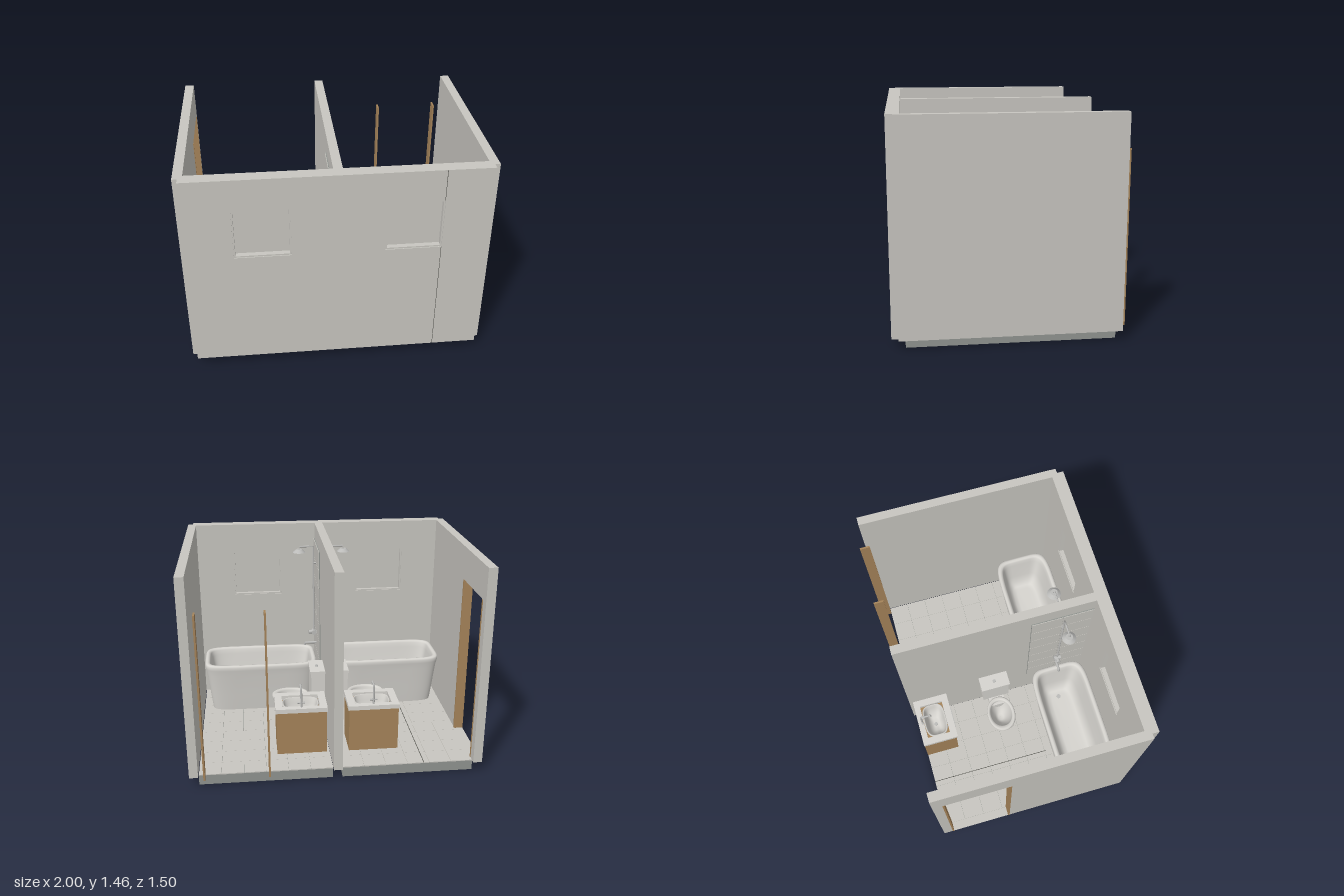
import * as THREE from 'three';

const mat = (name, color) => {
  const m = new THREE.MeshStandardMaterial({ color });
  m.name = name;
  return m;
};

export function createModel() {
  const wall = mat('plaster', 0xc8c6c0);
  const slab = mat('concrete', 0x909490);
  const wood = mat('wood', 0xa6845a);
  const ceramic = mat('ceramic', 0xd6d4cf);
  const metal = mat('metal', 0xbcbcba);
  const dark = mat('joint', 0x55554f);
  const root = new THREE.Group();
  root.name = 'bathroomPair';

  const add = (name, geo, material, parent = root) => {
    const m = new THREE.Mesh(geo, material);
    m.name = name;
    parent.add(m);
    return m;
  };
  // Box given by its limits on each axis
  const box = (name, material, x0, x1, y0, y1, z0, z1, parent) => {
    const g = new THREE.BoxGeometry(Math.abs(x1 - x0), y1 - y0, z1 - z0);
    g.translate((x0 + x1) / 2, (y0 + y1) / 2, (z0 + z1) / 2);
    return add(name, g, material, parent);
  };
  const rod = (name, material, points, r, parent) => {
    const path = new THREE.CurvePath();
    const v = points.map(p => new THREE.Vector3(...p));
    for (let i = 1; i < v.length; i++) path.add(new THREE.LineCurve3(v[i - 1], v[i]));
    return add(name, new THREE.TubeGeometry(path, 24, r, 10), material, parent);
  };
  const disc = (name, material, x, y, z, r0, r1, h, parent) => {
    const m = add(name, new THREE.CylinderGeometry(r0, r1, h, 24), material, parent);
    m.position.set(x, y, z);
    return m;
  };
  const oval = (cx, cz, a, b, n, seg = 64) => Array.from({ length: seg }, (_, j) => {
    const t = (j / seg) * Math.PI * 2, c = Math.cos(t), s = Math.sin(t);
    return [cx + a * Math.sign(c) * Math.abs(c) ** (2 / n), cz + b * Math.sign(s) * Math.abs(s) ** (2 / n)];
  });
  // Skin over stacked ovals [centreX, centreZ, halfX, halfZ, y], closed at the last one
  const loft = (rings, n) => {
    const seg = 64, pos = [], idx = [];
    const last = rings[rings.length - 1];
    [...rings, [last[0], last[1], 0.001, 0.001, last[4]]].forEach(([cx, cz, a, b, y]) =>
      oval(cx, cz, a, b, n, seg).forEach(([x, z]) => pos.push(x, y, z)));
    for (let i = 0; i < rings.length; i++) for (let j = 0; j < seg; j++) {
      const k = (j + 1) % seg, p = i * seg, q = p + seg;
      idx.push(p + j, q + j, p + k, p + k, q + j, q + k);
    }
    const g = new THREE.BufferGeometry();
    g.setAttribute('position', new THREE.Float32BufferAttribute(pos, 3));
    g.setIndex(idx);
    g.computeVertexNormals();
    return g;
  };
  // Rectangular plate with holes, each a list of points
  const plate = (x0, x1, y0, y1, holes, depth) => {
    const pts = list => list.map(p => new THREE.Vector2(p[0], p[1]));
    const rect = new THREE.Shape(pts([[x0, y0], [x1, y0], [x1, y1], [x0, y1]]));
    holes.forEach(h => rect.holes.push(new THREE.Path(pts(h))));
    return new THREE.ExtrudeGeometry(rect, { depth, bevelEnabled: false });
  };
  const rectHole = (x0, x1, y0, y1) => [[x0, y0], [x0, y1], [x1, y1], [x1, y0]];

  const F = 0.07, H = 1.46;

  // Outer walls and divider
  const front = add('frontWall', plate(-0.965, 0.965, F, H,
    [rectHole(-0.665, -0.3, 0.895, 1.245), rectHole(0.3, 0.665, 0.895, 1.245)], 0.087), wall);
  front.position.z = 0.658;
  box('frontWallJoint', dark, 0.661, 0.664, F, 0.895, 0.744, 0.746);
  box('frontWallJoint', dark, 0.661, 0.664, 1.245, H, 0.744, 0.746);
  box('dividerWall', wall, -0.03, 0.03, F, H, -0.71, 0.66);
  box('rightWall', wall, 0.94, 1, F, H, -0.71, 0.7);
  const doorWall = add('leftWall', plate(-0.7, 0.71, F, H, [rectHole(0.2, 0.64, F + 0.001, 1.23)], 0.062), wall);
  doorWall.rotation.y = Math.PI / 2;
  doorWall.position.x = -0.998;

  // Door frames
  box('sideDoorJamb', wood, -1, -0.932, F, 1.23, -0.645, -0.633);
  box('sideDoorJamb', wood, -1, -0.932, F, 1.23, -0.207, -0.195);
  for (const x of [0.463, 0.897]) box('backDoorJamb', wood, x - 0.006, x + 0.006, F, 1.225, -0.75, -0.68);
  box('floorJoint', dark, -0.598, -0.594, F, F + 0.007, -0.68, 0.22);

  for (const s of [-1, 1]) {
    const room = new THREE.Group();
    room.name = s > 0 ? 'leftRoom' : 'rightRoom';
    root.add(room);
    const b = (name, m, x0, x1, ...rest) => box(name, m, s * x0, s * x1, ...rest, room);

    // Floor slab and tiles
    b('floorSlab', slab, 0.033, 0.937, 0, F - 0.001, -0.68, 0.658);
    const dx = 0.905 / 6, dz = 1.338 / 9;
    for (let i = 0; i < 6; i++) for (let j = 0; j < 9; j++)
      b('floorTile', wall, 0.032 + i * dx, 0.0305 + (i + 1) * dx, F - 0.002, F + 0.005,
        -0.68 + j * dz, -0.6815 + (j + 1) * dz);

    // Window frame and pane
    const frame = add('windowFrame', plate(-0.183, 0.183, -0.175, 0.175, [rectHole(-0.173, 0.173, -0.165, 0.165)], 0.075), wall, room);
    frame.position.set(s * 0.4825, 1.07, 0.664);
    b('windowPane', wall, 0.305, 0.66, 0.9, 1.24, 0.695, 0.705);

    // Wall tiles behind the shower
    b('showerPanel', slab, 0.03, 0.036, 0.36, 1.34, 0.22, 0.655);
    for (let i = 0; i < 7; i++) for (let j = 0; j < 2; j++)
      b('showerTile', wall, 0.034, 0.04, 0.363 + i * 0.14, 0.499 + i * 0.14, 0.222 + j * 0.217, 0.436 + j * 0.217);

    // Bathtub, outside up over the rim and down into the basin
    const tub = [[0.045, 0.07], [0.03, 0.2], [0.012, 0.37], [0.002, 0.42], [0, 0.445], [0.006, 0.457],
      [0.018, 0.46], [0.03, 0.457], [0.038, 0.445], [0.045, 0.41], [0.07, 0.26], [0.09, 0.19], [0.12, 0.16], [0.15, 0.155]];
    add('bathtub', loft(tub.map(([d, y]) => [s * 0.484, 0.44, 0.432 - d, 0.215 - d, y]), 6), ceramic, room);
    disc('tubDrain', metal, s * 0.22, 0.158, 0.44, 0.016, 0.016, 0.008, room);

    // Shower set and tub tap
    const z = 0.44, px = s * 0.06;
    rod('showerPipe', metal, [[px, 0.64, z], [px, 1.33, z], [s * 0.168, 1.33, z], [s * 0.168, 1.3, z]], 0.006, room);
    disc('showerHead', metal, s * 0.168, 1.298, z, 0.024, 0.047, 0.022, room);
    const mixer = disc('mixerBody', metal, px, 0.64, z, 0.018, 0.018, 0.05, room);
    mixer.rotation.x = Math.PI / 2;
    const knob = disc('mixerKnob', metal, s * 0.085, 0.64, z, 0.014, 0.014, 0.03, room);
    knob.rotation.z = Math.PI / 2;
    rod('wallMount', metal, [[s * 0.036, 1.2, z], [px, 1.2, z]], 0.008, room);
    rod('wallMount', metal, [[s * 0.036, 0.64, z], [px, 0.64, z]], 0.01, room);
    rod('tubSpout', metal, [[s * 0.036, 0.55, z], [s * 0.13, 0.55, z], [s * 0.13, 0.53, z]], 0.009, room);

    // Toilet
    const tz = -0.055;
    const bowl = [[0.25, 0.095, 0.07, 0.07], [0.25, 0.09, 0.065, 0.1], [0.25, 0.075, 0.055, 0.17], [0.262, 0.09, 0.07, 0.23],
      [0.275, 0.122, 0.093, 0.29], [0.279, 0.132, 0.102, 0.32], [0.28, 0.136, 0.106, 0.333], [0.28, 0.134, 0.104, 0.347],
      [0.28, 0.125, 0.096, 0.351], [0.278, 0.105, 0.084, 0.349], [0.277, 0.1, 0.08, 0.335], [0.275, 0.085, 0.068, 0.28],
      [0.27, 0.05, 0.04, 0.22], [0.27, 0.025, 0.02, 0.21]];
    add('toiletBowl', loft(bowl.map(([x, a, c, y]) => [s * x, tz, a, c, y]), 2.1), ceramic, room);
    b('toiletBracket', ceramic, 0.032, 0.2, 0.24, 0.325, tz - 0.06, tz + 0.06);
    b('toiletTank', ceramic, 0.034, 0.133, 0.32, 0.54, tz - 0.1, tz + 0.1);
    b('tankLid', ceramic, 0.032, 0.14, 0.54, 0.56, tz - 0.108, tz + 0.108);
    disc('flushButton', metal, s * 0.085, 0.563, tz, 0.012, 0.012, 0.01, room);

    // Vanity cabinet with a hollow for the basin
    const vx = s * 0.241, vz = -0.555;
    b('cabinetBase', wood, 0.075, 0.407, 0.2, 0.38, -0.678, -0.435);
    const top = add('cabinetTop', plate(-0.166, 0.166, -0.1215, 0.1215, [oval(0, 0.0015, 0.119, 0.08, 3.4).reverse()], 0.12), wood, room);
    top.rotation.x = -Math.PI / 2;
    top.position.set(vx, 0.38, -0.5565);
    const counter = add('countertop', plate(-0.172, 0.172, -0.128, 0.128, [rectHole(-0.123, 0.123, -0.08, 0.086)], 0.03), ceramic, room);
    counter.rotation.x = -Math.PI / 2;
    counter.position.set(vx, 0.5, -0.553);
    b('cabinetHandle', metal, 0.165, 0.318, 0.455, 0.468, -0.435, -0.418);
    const sink = [[0.112, 0.073, 0.495], [0.121, 0.082, 0.5], [0.122, 0.083, 0.515], [0.117, 0.078, 0.52], [0.111, 0.072, 0.515],
      [0.104, 0.066, 0.48], [0.085, 0.052, 0.425], [0.05, 0.03, 0.405], [0.02, 0.015, 0.402]];
    add('washbasin', loft(sink.map(([a, c, y]) => [vx, vz, a, c, y]), 3.4), ceramic, room);
    disc('basinDrain', metal, vx, 0.404, vz, 0.012, 0.012, 0.008, room);
    rod('basinTap', metal, [[vx, 0.52, -0.65], [vx, 0.66, -0.65], [vx, 0.66, -0.58], [vx, 0.645, -0.58]], 0.007, room);
    rod('tapLever', metal, [[vx - 0.025, 0.56, -0.65], [vx + 0.025, 0.56, -0.65]], 0.006, room);
  }
  return root;
}
